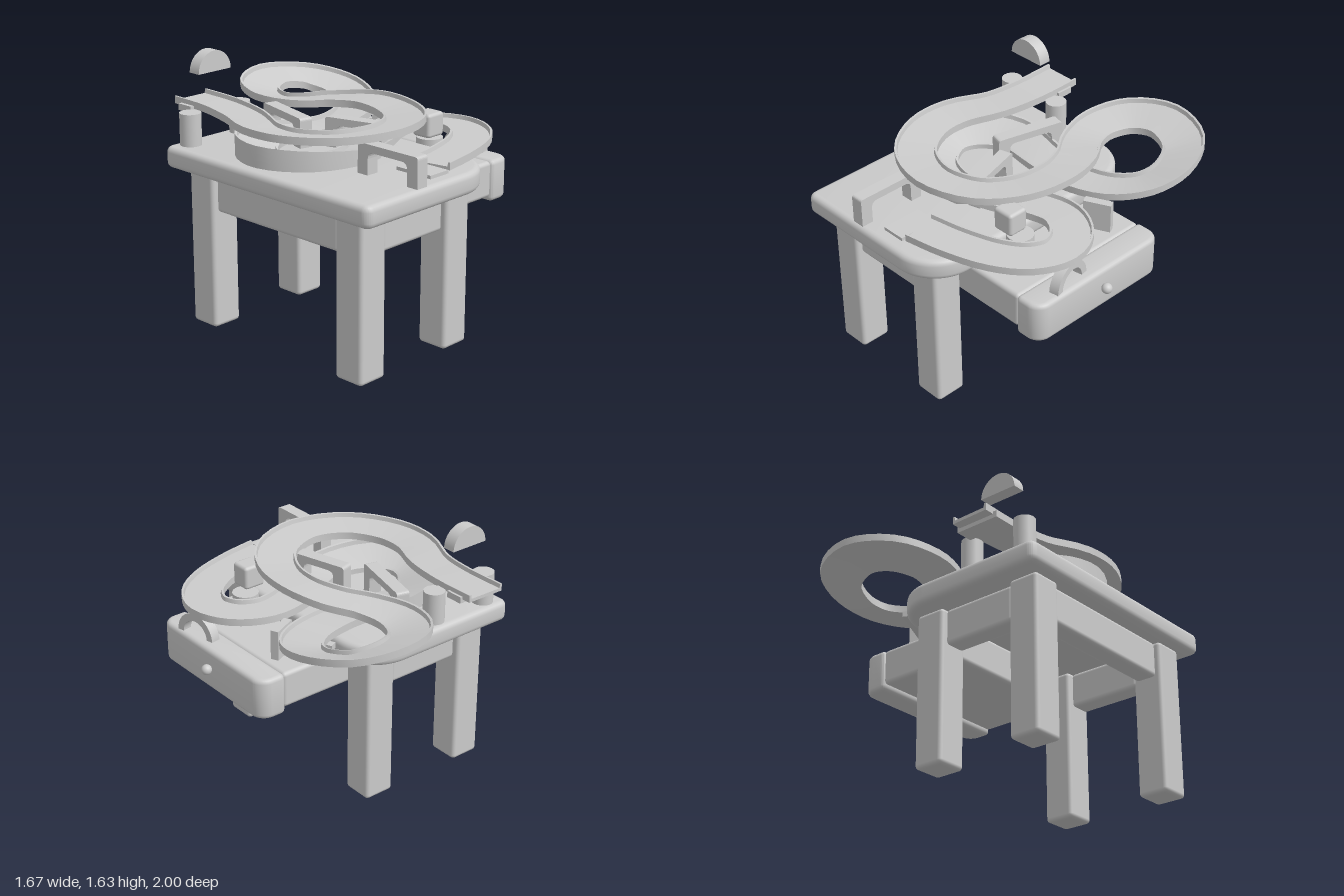
import * as THREE from 'three';
import { RoundedBoxGeometry } from 'three/addons/geometries/RoundedBoxGeometry.js';
import { toCreasedNormals } from 'three/addons/utils/BufferGeometryUtils.js';

const grey = new THREE.MeshStandardMaterial({ color: 0xcccccc });

function add(parent, name, geometry, x = 0, y = 0, z = 0, ry = 0) {
  const mesh = new THREE.Mesh(geometry, grey);
  mesh.name = name;
  mesh.position.set(x, y, z);
  mesh.rotation.y = ry;
  parent.add(mesh);
  return mesh;
}

// Rounded box given by its limits on each axis
function block(parent, name, [x0, x1], [y0, y1], [z0, z1], r = 0.025) {
  add(parent, name, new RoundedBoxGeometry(x1 - x0, y1 - y0, z1 - z0, 3, r),
    (x0 + x1) / 2, (y0 + y1) / 2, (z0 + z1) / 2);
}

// Horizontal slab with small corners on the left and large ones on the right
function slab(x0, x1, z0, z1, y0, y1, rLeft, rRight, bevel) {
  const s = new THREE.Shape();
  const a = -z1, b = -z0, q = Math.PI / 2;
  s.absarc(x0 + rLeft, a + rLeft, rLeft, 2 * q, 3 * q);
  s.absarc(x1 - rRight, a + rRight, rRight, 3 * q, 4 * q);
  s.absarc(x1 - rRight, b - rRight, rRight, 0, q);
  s.absarc(x0 + rLeft, b - rLeft, rLeft, q, 2 * q);
  s.closePath();
  const g = new THREE.ExtrudeGeometry(s, {
    depth: y1 - y0 - 2 * bevel, bevelThickness: bevel, bevelSize: bevel,
    bevelOffset: -bevel, bevelSegments: 4, curveSegments: 10,
  });
  g.rotateX(-Math.PI / 2).translate(0, y0 + bevel, 0);
  return toCreasedNormals(g, 0.6);
}

// Bridge with a round-cornered opening, spanning along z
function bridge(parent, name, length, x, z, ry) {
  const h = 0.18, w = length / 2, i = w - 0.075, top = 0.135, r = 0.04;
  const s = new THREE.Shape();
  s.moveTo(-w, 0);
  s.lineTo(-i, 0);
  s.lineTo(-i, top - r);
  s.quadraticCurveTo(-i, top, -i + r, top);
  s.lineTo(i - r, top);
  s.quadraticCurveTo(i, top, i, top - r);
  s.lineTo(i, 0);
  s.lineTo(w, 0);
  s.lineTo(w, h - 0.02);
  s.quadraticCurveTo(w, h, w - 0.02, h);
  s.lineTo(-w + 0.02, h);
  s.quadraticCurveTo(-w, h, -w, h - 0.02);
  const g = new THREE.ExtrudeGeometry(s, { depth: 0.08, bevelEnabled: false, curveSegments: 5 });
  g.translate(0, 0, -0.04).rotateY(Math.PI / 2);
  add(parent, name, g, x, 1.09, z, ry);
}

// Sweeps the rimmed track section along a path of [x, y, z, bank slope]
function trackGeometry(stations, steps) {
  const path = new THREE.CatmullRomCurve3(stations.map(p => new THREE.Vector3(p[0], p[1], p[2])));
  const bank = new THREE.CatmullRomCurve3(stations.map(p => new THREE.Vector3(p[3], 0, 0)), false, 'catmullrom');
  const section = [[-0.125, -0.02], [0.125, -0.02], [0.125, 0.025], [0.112, 0.025],
    [0.107, 0], [-0.107, 0], [-0.112, 0.025], [-0.125, 0.025]];
  const n = section.length, pos = [], idx = [];
  for (let i = 0; i <= steps; i++) {
    const p = path.getPoint(i / steps), t = path.getTangent(i / steps);
    const len = Math.hypot(t.x, t.z), slope = bank.getPoint(i / steps).x;
    section.forEach(([u, h], j) => {
      // the steeply banked bend is filled down to the table
      const y = j < 2 && slope > 0.15 ? 1.085 : p.y + h + slope * u;
      pos.push(p.x - t.z / len * u, y, p.z + t.x / len * u);
    });
  }
  for (let i = 0; i < steps; i++) {
    for (let j = 0; j < n; j++) {
      const a = i * n + j, b = i * n + (j + 1) % n;
      idx.push(a, a + n, b, b, a + n, b + n);
    }
  }
  const caps = THREE.ShapeUtils.triangulateShape(section.map(p => new THREE.Vector2(...p)), []);
  const end = steps * n;
  caps.forEach(([a, b, c]) => idx.push(a, b, c, end + a, end + c, end + b));
  const g = new THREE.BufferGeometry();
  g.setAttribute('position', new THREE.Float32BufferAttribute(pos, 3));
  g.setIndex(idx);
  return toCreasedNormals(g, 0.5);
}

export function createModel() {
  const model = new THREE.Group();

  // Table
  const table = new THREE.Group();
  table.name = 'table';
  model.add(table);
  add(table, 'tableTop', slab(-0.84, 0.26, -0.64, 1, 0.96, 1.09, 0.05, 0.28, 0.035));
  for (const x of [-0.66, 0.04]) {
    for (const z of [-0.41, 0.78]) block(table, 'leg', [x - 0.1, x + 0.1], [0, 0.965], [z - 0.1, z + 0.1]);
  }
  for (const z of [-0.41, 0.78]) block(table, 'endApron', [-0.56, -0.06], [0.73, 0.955], [z - 0.07, z + 0.07]);
  block(table, 'sideApron', [-0.73, -0.59], [0.73, 0.955], [-0.31, 0.68]);

  // Open drawer
  const drawer = new THREE.Group();
  drawer.name = 'drawer';
  model.add(drawer);
  block(drawer, 'drawerBody', [0, 0.6], [0.73, 0.955], [-0.31, 0.67]);
  add(drawer, 'drawerFront', slab(0.59, 0.77, -0.32, 0.68, 0.7, 0.957, 0.03, 0.09, 0.028));
  add(drawer, 'drawerKnob', new THREE.SphereGeometry(0.032, 20, 14), 0.8, 0.845, 0.165);

  // Tunnel arch standing on the drawer front
  const ring = new THREE.Shape();
  ring.absarc(0, 0, 0.14, 0, Math.PI);
  ring.absarc(0, 0, 0.095, Math.PI, 0, true);
  const arch = new THREE.ExtrudeGeometry(ring, { depth: 0.06, bevelEnabled: false, curveSegments: 16 });
  arch.translate(0, 0, -0.03).rotateY(Math.PI / 2);
  add(drawer, 'tunnelArch', toCreasedNormals(arch, 0.5), 0.7, 0.955, 0.38, 0.18);

  // Track: upper bend, rear loop, banked hairpin, lower bend
  add(model, 'raceTrack', trackGeometry([
    [-0.5, 1.3, -0.78, 0], [-0.505, 1.295, -0.5, 0], [-0.55, 1.285, -0.25, 0],
    [-0.65, 1.28, 0, 0.08], [-0.64, 1.28, 0.22, 0.1], [-0.49, 1.285, 0.45, 0.1],
    [-0.22, 1.29, 0.55, 0.1], [0.05, 1.285, 0.46, 0.1], [0.2, 1.28, 0.25, 0.1],
    [0.24, 1.28, 0, 0.08], [0.17, 1.26, -0.22, 0], [0.05, 1.24, -0.4, -0.05],
    [0, 1.235, -0.6, -0.15], [0.08, 1.25, -0.79, -0.25], [0.28, 1.265, -0.875, -0.3],
    [0.5, 1.24, -0.8, -0.3], [0.59, 1.2, -0.6, -0.25], [0.55, 1.16, -0.42, -0.15],
    [0.4, 1.13, -0.28, -0.05], [0.15, 1.115, -0.21, 0], [-0.1, 1.12, -0.23, 0.1],
    [-0.38, 1.135, -0.25, 0.3], [-0.58, 1.145, -0.12, 0.4], [-0.64, 1.145, 0.06, 0.4],
    [-0.52, 1.14, 0.26, 0.35], [-0.25, 1.125, 0.34, 0.2], [0, 1.115, 0.25, 0.05],
    [0.2, 1.115, 0.15, 0], [0.4, 1.12, 0.12, 0], [0.56, 1.12, 0.21, 0],
    [0.625, 1.12, 0.37, 0], [0.56, 1.12, 0.53, 0], [0.4, 1.12, 0.65, 0],
    [0.15, 1.12, 0.735, 0], [-0.09, 1.12, 0.78, 0],
  ], 136));
  add(model, 'finishPlate', new THREE.BoxGeometry(0.15, 0.02, 0.25), -0.165, 1.1, 0.785);

  // Bridges over the track
  bridge(model, 'finishBridge', 0.44, -0.39, 0.76, 0);
  bridge(model, 'rearBridge', 0.44, -0.235, -0.22, -0.25);
  bridge(model, 'middleBridge', 0.37, -0.1, 0.215, 0.27);

  // Start gate
  const gate = new THREE.Group();
  gate.name = 'startGate';
  model.add(gate);
  for (const x of [-0.71, -0.32]) {
    add(gate, 'gatePost', new THREE.CylinderGeometry(0.065, 0.065, 0.2, 24), x, 1.185, -0.545);
  }
  add(gate, 'startRest', new THREE.BoxGeometry(0.29, 0.04, 0.11), -0.505, 1.275, -0.665);
  const half = new THREE.Shape();
  half.absarc(0, 0, 0.125, 0, Math.PI);
  half.closePath();
  const sign = new THREE.ExtrudeGeometry(half, { depth: 0.08, bevelEnabled: false, curveSegments: 20 });
  add(gate, 'floatingHalfDisc', toCreasedNormals(sign, 0.5), -0.545, 1.51, -0.585);

  // Track supports
  add(model, 'roundSupport', new THREE.CylinderGeometry(0.08, 0.08, 0.16, 24), 0.34, 1.03, 0.4);
  block(model, 'upperSupport', [0.22, 0.36], [1.135, 1.28], [0.365, 0.495], 0.02);
  add(model, 'crossPost', new THREE.BoxGeometry(0.17, 0.19, 0.05), 0.46, 1.045, -0.11, 0.44);
  add(model, 'crossBeam', new THREE.BoxGeometry(0.05, 0.035, 0.33), 0.39, 1.08, -0.265, 0.44);

  return model;
}
